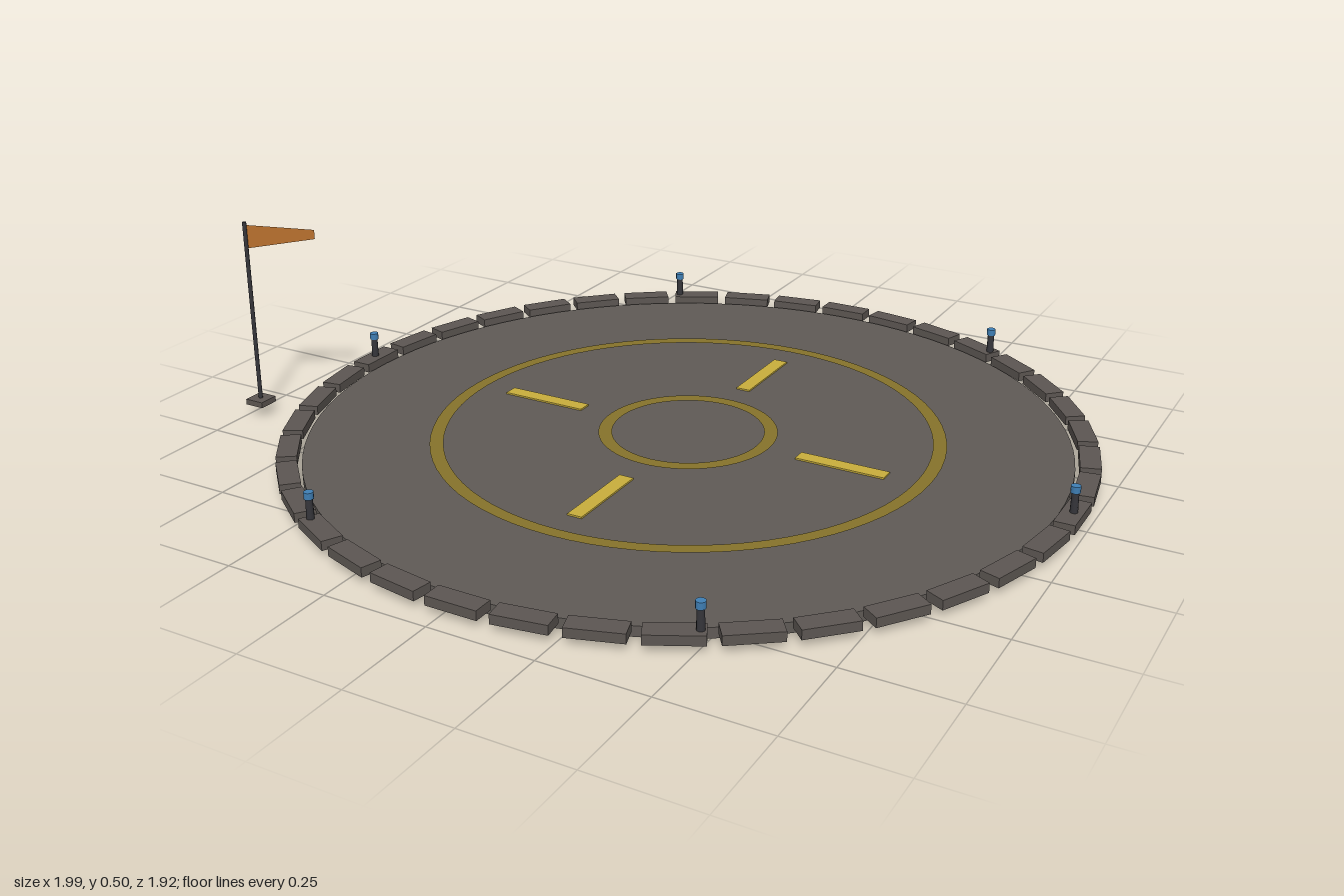
import * as THREE from 'three';

const mat = (name, color, extra = {}) => {
  const m = new THREE.MeshStandardMaterial({ color, ...extra });
  m.name = name;
  return m;
};

export function createModel() {
  const concrete = mat('concrete', 0x5f5a56);
  const stone = mat('kerb stone', 0x5c5652);
  const ringPaint = mat('faded yellow paint', 0x86732b);
  const barPaint = mat('bright yellow paint', 0xc8ae3c);
  const metal = mat('dark metal', 0x35353a);
  const lens = mat('blue lens', 0x3f7fb5);
  const cloth = mat('orange cloth', 0xb8702c, { side: THREE.DoubleSide });

  const model = new THREE.Group();
  model.name = 'landingPad';
  const add = (parent, name, geometry, material, x = 0, y = 0, z = 0) => {
    const mesh = new THREE.Mesh(geometry, material);
    mesh.name = name;
    mesh.position.set(x, y, z);
    parent.add(mesh);
    return mesh;
  };

  // Everything circular shares the pad's centre
  const pad = new THREE.Group();
  pad.name = 'pad';
  pad.position.x = 0.03;
  model.add(pad);

  const PAD_TOP = 0.024;
  add(pad, 'deck', new THREE.CylinderGeometry(0.904, 0.904, PAD_TOP, 96), concrete, 0, PAD_TOP / 2, 0);

  // Painted circles
  for (const [name, inner, outer] of [['innerCircle', 0.182, 0.214], ['outerCircle', 0.58, 0.612]]) {
    const ring = new THREE.RingGeometry(inner, outer, 80).rotateX(-Math.PI / 2);
    add(pad, name, ring, ringPaint, 0, PAD_TOP + 0.003, 0);
  }

  // Four painted approach bars
  const barGeometry = new THREE.BoxGeometry(0.22, 0.004, 0.036);
  for (let i = 0; i < 4; i++) {
    const a = (i * Math.PI) / 2;
    const bar = add(pad, 'approachBar', barGeometry, barPaint,
      Math.cos(a) * 0.4, PAD_TOP + 0.002, Math.sin(a) * 0.4);
    bar.rotation.y = -a;
  }

  // Kerb of separate stones around the rim
  const stoneGeometry = new THREE.BoxGeometry(0.048, 0.022, 0.123);
  for (let i = 0; i < 40; i++) {
    const a = (i * Math.PI) / 20;
    const block = add(pad, 'kerbStone', stoneGeometry, stone,
      Math.cos(a) * 0.936, 0.029, Math.sin(a) * 0.936);
    block.rotation.y = -a;
  }

  // Six marker lamps standing on the kerb
  const postGeometry = new THREE.CylinderGeometry(0.008, 0.009, 0.05, 10);
  const lensGeometry = new THREE.CylinderGeometry(0.011, 0.011, 0.016, 10);
  for (let i = 0; i < 6; i++) {
    const a = (i * Math.PI) / 3;
    const lamp = new THREE.Group();
    lamp.name = 'markerLamp';
    lamp.position.set(Math.cos(a) * 0.938, 0.038, Math.sin(a) * 0.938);
    add(lamp, 'lampPost', postGeometry, metal, 0, 0.025, 0);
    add(lamp, 'lampLens', lensGeometry, lens, 0, 0.057, 0);
    pad.add(lamp);
  }

  // Wind flag beside the pad
  const wind = new THREE.Group();
  wind.name = 'windFlag';
  wind.position.set(-0.975, 0, 0.367);
  model.add(wind);
  add(wind, 'flagBase', new THREE.BoxGeometry(0.05, 0.014, 0.05), stone, 0, 0.035, 0);
  add(wind, 'flagPole', new THREE.CylinderGeometry(0.005, 0.005, 0.457, 10), metal, 0, 0.267, 0);

  const pennant = new THREE.Shape([
    new THREE.Vector2(0.004, 0.43), new THREE.Vector2(0.162, 0.447),
    new THREE.Vector2(0.162, 0.47), new THREE.Vector2(0.004, 0.488),
  ]);
  const flag = add(wind, 'pennant', new THREE.ShapeGeometry(pennant), cloth);
  flag.rotation.y = Math.atan2(0.095, 0.132);

  return model;
}
